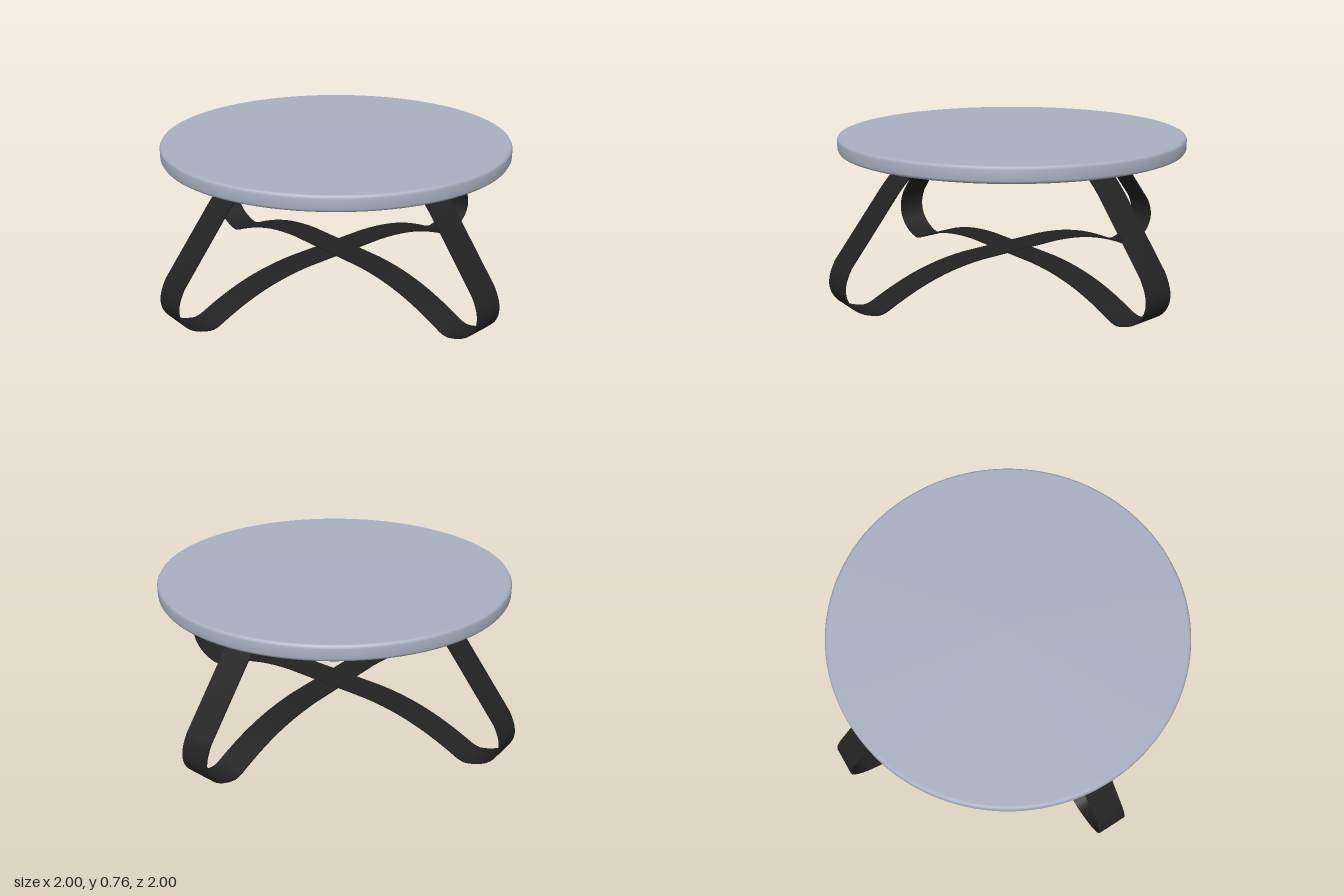
import * as THREE from 'three';
import { toCreasedNormals } from 'three/addons/utils/BufferGeometryUtils.js';

const BAND = { width: 0.15, thick: 0.007 };

// Centre line of half a band: mounting tab, sloping leg, rounded foot, arch to the middle
function halfPath(tabEnd, midY) {
  const s = new THREE.Shape();
  s.moveTo(tabEnd, 0.679);
  s.lineTo(0.578, 0.679);
  s.quadraticCurveTo(0.655, 0.62, 0.711, 0.556);
  s.lineTo(0.96, 0.257);
  s.bezierCurveTo(0.995, 0.2, 1.005, 0.155, 0.987, 0.11);
  s.bezierCurveTo(0.962, 0.05, 0.9, 0.018, 0.835, 0.005);
  s.quadraticCurveTo(0.81, 0.004, 0.785, 0.015);
  s.bezierCurveTo(0.6, 0.1, 0.45, midY - 0.008, 0.25, midY);
  return s.getPoints(10);
}

// Flat strip bent along a path, extruded across its width
function bandGeometry(path) {
  const n = path.length, outer = [], inner = [];
  path.forEach((p, i) => {
    const a = path[Math.max(i - 1, 0)], b = path[Math.min(i + 1, n - 1)];
    const d = b.clone().sub(a).normalize();
    const off = new THREE.Vector2(-d.y, d.x).multiplyScalar(BAND.thick / 2);
    outer.push(p.clone().add(off));
    inner.push(p.clone().sub(off));
  });
  const geo = new THREE.ExtrudeGeometry(new THREE.Shape([...outer, ...inner.reverse()]),
    { depth: BAND.width, bevelEnabled: false });
  geo.translate(0, 0, -BAND.width / 2);
  return toCreasedNormals(geo, 0.5);
}

export function createModel() {
  const model = new THREE.Group();
  model.name = 'roundTable';
  const topMat = new THREE.MeshStandardMaterial({ name: 'greyBlueTop', color: 0xa9b0c2 });
  const metal = new THREE.MeshStandardMaterial({ name: 'blackMetal', color: 0x222222 });

  const add = (parent, name, geo, mat, x = 0, y = 0, z = 0) => {
    const mesh = new THREE.Mesh(geo, mat);
    mesh.name = name;
    mesh.position.set(x, y, z);
    parent.add(mesh);
    return mesh;
  };

  // Round top with softened rims
  const profile = [[0, 0.683], [0.845, 0.683], [0.855, 0.687], [0.861, 0.698],
    [0.861, 0.742], [0.855, 0.753], [0.845, 0.757], [0, 0.757]]
    .map(([x, y]) => new THREE.Vector2(x, y));
  add(model, 'tableTop', new THREE.LatheGeometry(profile, 96), topMat);

  // Two crossing bands, one just above the other, each with screws in its tabs
  const screw = new THREE.SphereGeometry(0.012, 16, 8);
  screw.scale(1, 0.8, 1);
  [0.147, 0.14].forEach((midY, i) => {
    const group = new THREE.Group();
    group.name = i ? 'frontBackLegs' : 'sideLegs';
    group.rotation.y = i * Math.PI / 2;
    const half = halfPath(0.3, midY);
    const mirrored = half.map(p => new THREE.Vector2(-p.x, p.y)).reverse();
    add(group, 'legBand', bandGeometry([...half, ...mirrored]), metal);
    for (const side of [-1, 1])
      for (const x of [0.378, 0.462])
        add(group, 'tabScrew', screw, metal, side * x, 0.676, 0);
    model.add(group);
  });

  // Bolt joining the bands at the crossing
  add(model, 'centreBolt', new THREE.CylinderGeometry(0.012, 0.012, 0.02, 20), metal, 0, 0.1435, 0);
  return model;
}
